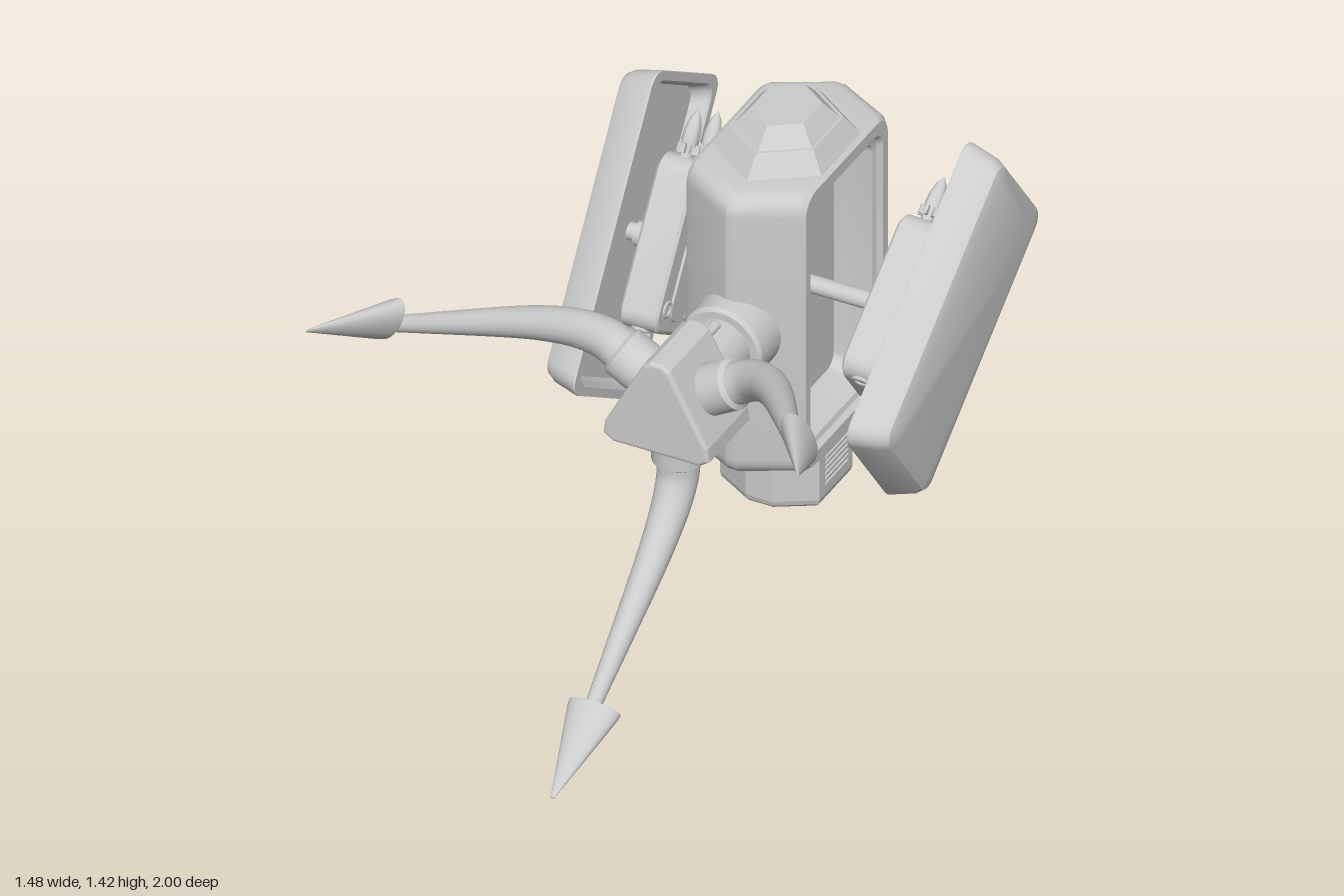
import * as THREE from 'three';
import { toCreasedNormals } from 'three/addons/utils/BufferGeometryUtils.js';
import { RoundedBoxGeometry } from 'three/addons/geometries/RoundedBoxGeometry.js';

const grey = new THREE.MeshStandardMaterial({ color: 0xcccccc });
const grey2 = new THREE.MeshStandardMaterial({ color: 0xcccccc, side: THREE.DoubleSide });

function add(parent, name, geo, x = 0, y = 0, z = 0, mat = grey) {
  const m = new THREE.Mesh(geo, mat);
  m.name = name;
  m.position.set(x, y, z);
  parent.add(m);
  return m;
}

// Capped skin over rounded-rectangle rings [x, half depth, half height, corner radius] along x
function loft(rings, seg = 6) {
  const loops = rings.map(([x, hz, hy, r]) => {
    const pts = [];
    [[1, 1], [-1, 1], [-1, -1], [1, -1]].forEach(([su, sy], c) => {
      for (let i = 0; i <= seg; i++) {
        const a = (c + i / seg) * Math.PI / 2;
        pts.push([x, sy * (hy - r) + r * Math.sin(a), -(su * (hz - r) + r * Math.cos(a))]);
      }
    });
    return pts;
  });
  const pos = [], n = loops[0].length;
  const tri = (a, b, c) => pos.push(...a, ...b, ...c);
  for (let k = 0; k + 1 < loops.length; k++) {
    for (let i = 0; i < n; i++) {
      const j = (i + 1) % n, A = loops[k], B = loops[k + 1];
      tri(A[i], A[j], B[j]);
      tri(A[i], B[j], B[i]);
    }
  }
  const first = loops[0], last = loops[loops.length - 1];
  for (let i = 1; i < n - 1; i++) {
    tri(first[0], first[i + 1], first[i]);
    tri(last[0], last[i], last[i + 1]);
  }
  const g = new THREE.BufferGeometry();
  g.setAttribute('position', new THREE.Float32BufferAttribute(pos, 3));
  return toCreasedNormals(g, 0.45);
}

// Tube whose radius shrinks along its path
function taperedTube(points, r0, r1) {
  const path = new THREE.CatmullRomCurve3(points.map(p => new THREE.Vector3(...p)));
  const N = 40, R = 20, g = new THREE.TubeGeometry(path, N, 1, R);
  const p = g.attributes.position, v = new THREE.Vector3();
  for (let i = 0; i < p.count; i++) {
    const t = Math.floor(i / (R + 1)) / N, c = path.getPointAt(t);
    v.fromBufferAttribute(p, i).sub(c).multiplyScalar(r0 + (r1 - r0) * t).add(c);
    p.setXYZ(i, v.x, v.y, v.z);
  }
  return g;
}

const lathe = (pts, seg = 24) => toCreasedNormals(
  new THREE.LatheGeometry(pts.map(p => new THREE.Vector2(...p)), seg), 0.6);

// Polygon extruded along z with a soft bevel
function prism(pts, depth, bevel) {
  return new THREE.ExtrudeGeometry(new THREE.Shape(pts.map(p => new THREE.Vector2(...p))), {
    depth: depth - 2 * bevel, bevelThickness: bevel, bevelSize: bevel, bevelOffset: -bevel, bevelSegments: 3 })
    .translate(0, 0, bevel);
}

function makeArm() {
  const arm = new THREE.Group();
  arm.name = 'arm';
  add(arm, 'armSocket', lathe([[0, -0.205], [0.06, -0.205], [0.073, -0.195], [0.073, -0.08]]), 0, 0, 0.265);
  add(arm, 'armTube', taperedTube([[0, -0.17, 0.265], [0, -0.25, 0.27], [0, -0.325, 0.31],
    [0, -0.40, 0.38], [0, -0.46, 0.45], [0, -0.70, 0.765]], 0.062, 0.022));
  // Flattened spear tip with a hollow base
  const tip = add(arm, 'clawTip', lathe([[0.015, 0.05], [0.03, 0.015], [0.077, 0], [0.074, 0.02], [0.006, 0.285], [0, 0.288]]),
    0, -0.71, 0.75);
  tip.scale.z = 0.52;
  const dir = new THREE.Vector3(0, -0.145, 0.25).normalize();
  tip.quaternion.setFromUnitVectors(new THREE.Vector3(0, 1, 0), dir);
  tip.material = grey2;
  return arm;
}

function makeRocket() {
  const r = new THREE.Group();
  r.name = 'rocket';
  add(r, 'rocketBody', lathe([[0, 0], [0.018, 0], [0.018, 0.025], [0.024, 0.045], [0.023, 0.075],
    [0.015, 0.11], [0, 0.135]], 16));
  for (let i = 0; i < 4; i++) {
    const f = add(r, 'rocketFin', new THREE.BoxGeometry(0.066, 0.026, 0.006), 0, 0.026, 0);
    f.rotation.y = i * Math.PI / 4;
  }
  return r;
}

// Side shield with its launcher, built for +x about the axle
function makeSide(tilt) {
  const s = new THREE.Group();
  s.name = 'sidePod';
  s.rotation.x = tilt;
  add(s, 'shield', loft([[0.475, 0.18, 0.405, 0.05], [0.43, 0.195, 0.42, 0.05], [0.425, 0.2, 0.425, 0.05],
    [0.425, 0.225, 0.45, 0.05], [0.43, 0.226, 0.451, 0.05], [0.505, 0.208, 0.433, 0.05],
    [0.53, 0.193, 0.418, 0.045], [0.54, 0.165, 0.39, 0.03]]));
  add(s, 'launcher', loft([[0.285, 0.11, 0.23, 0.045], [0.293, 0.118, 0.24, 0.05],
    [0.392, 0.118, 0.24, 0.05], [0.4, 0.11, 0.23, 0.045]]));
  add(s, 'launcherPlate', loft([[0.279, 0.05, 0.2, 0.045], [0.29, 0.055, 0.205, 0.045]]));
  for (const z of [-0.07, 0.07]) {
    const rocket = makeRocket();
    rocket.position.set(0.3425, 0.235, z);
    s.add(rocket);
    // Tube mouth at the lower end and round ports on the inner face
    const mouth = add(s, 'tubeMouth', new THREE.TorusGeometry(0.022, 0.006, 8, 20), 0.3425, -0.24, z);
    mouth.rotation.x = Math.PI / 2;
    for (const y of [-0.17, 0.17]) {
      const port = add(s, 'port', new THREE.TorusGeometry(0.02, 0.006, 8, 20), 0.285, y, z);
      port.rotation.y = Math.PI / 2;
    }
  }
  const axle = add(s, 'axle', new THREE.CylinderGeometry(0.025, 0.025, 0.45, 20), 0.26);
  axle.rotation.z = Math.PI / 2;
  const collar = add(s, 'axleCollar', new THREE.CylinderGeometry(0.035, 0.035, 0.06, 20), 0.42);
  collar.rotation.z = Math.PI / 2;
  return s;
}

export function createModel() {
  const model = new THREE.Group();
  model.name = 'probe';

  // Wedge-sided hull with a deep rounded bay in each side
  const half = [[0.012, 0.334, 0.45, 0.06], [0.165, 0.252, 0.45, 0.06], [0.18, 0.238, 0.442, 0.06],
    [0.18, 0.21, 0.405, 0.05], [0.165, 0.2, 0.395, 0.05], [0.16, 0.185, 0.38, 0.04], [0.05, 0.175, 0.37, 0.04]];
  const mirrored = half.map(([x, ...r]) => [-x, ...r]).reverse();
  add(model, 'hull', loft([...mirrored, ...half]), 0, 0.868, -0.365);

  // Faceted cap
  const facet = new THREE.MeshStandardMaterial({ color: 0xcccccc, flatShading: true });
  [[0.235, 0.175, 1.31, 1.375], [0.165, 0.11, 1.375, 1.425]].forEach(([r0, r1, y0, y1]) => {
    const c = add(model, 'cap', new THREE.CylinderGeometry(r1, r0, y1 - y0, 6), 0, (y0 + y1) / 2, -0.36, facet);
    c.scale.x = 0.84;
  });

  // Lower housing with grilles
  const housing = add(model, 'lowerHousing', prism([[0.15, 0.265], [0.15, 0.455], [0.04, 0.52], [-0.04, 0.52],
    [-0.15, 0.455], [-0.15, 0.265], [-0.04, 0.2], [0.04, 0.2]], 0.23, 0.03), 0, 0.45, 0);
  housing.rotation.x = Math.PI / 2;
  housing.scale.y = -1;
  for (let i = 0; i < 7; i++) {
    for (const s of [-1, 1]) {
      add(model, 'sideSlat', new THREE.BoxGeometry(0.008, 0.008, 0.13), s * 0.151, 0.285 + i * 0.017, -0.36);
    }
    add(model, 'bottomSlat', new THREE.BoxGeometry(0.15, 0.008, 0.01), 0, 0.219, -0.27 - i * 0.03);
  }

  // Rear antenna
  add(model, 'antennaMount', new RoundedBoxGeometry(0.06, 0.095, 0.025, 2, 0.008), 0, 0.37, -0.592);
  [[0.018, 0.1, -0.645], [0.008, 0.32, -0.838]].forEach(([r, l, z]) => {
    const a = add(model, 'antenna', new THREE.CylinderGeometry(r, r, l, 14), 0, 0.368, z);
    a.rotation.x = Math.PI / 2;
  });

  // Neck between hull and hub
  const neck = add(model, 'neck', lathe([[0.088, 0.17], [0.088, 0.02], [0.11, 0.02], [0.12, 0.01], [0.125, -0.12]].reverse(), 32),
    0, 0.872, 0);
  neck.rotation.x = Math.PI / 2;
  add(model, 'neckLatch', new RoundedBoxGeometry(0.03, 0.04, 0.09, 3, 0.012), 0, 0.955, 0.085);

  // Triangular hub carrying three arms
  add(model, 'hub', prism([[-0.13, 0.755], [0.13, 0.755], [0.16, 0.775], [0.155, 0.815], [0.04, 1.03],
    [0.018, 1.045], [-0.018, 1.045], [-0.04, 1.03], [-0.155, 0.815], [-0.16, 0.775]], 0.245, 0.012), 0, 0, 0.155);
  for (let i = 0; i < 3; i++) {
    const arm = makeArm();
    arm.position.y = 0.86;
    arm.rotation.z = i * Math.PI * 2 / 3;
    model.add(arm);
  }

  // Side pods, each turned differently on the axle
  [[1, -53], [-1, -33]].forEach(([side, deg]) => {
    const pod = makeSide(THREE.MathUtils.degToRad(deg));
    pod.position.set(0, 0.865, -0.368);
    pod.scale.x = side;
    model.add(pod);
  });
  return model;
}
